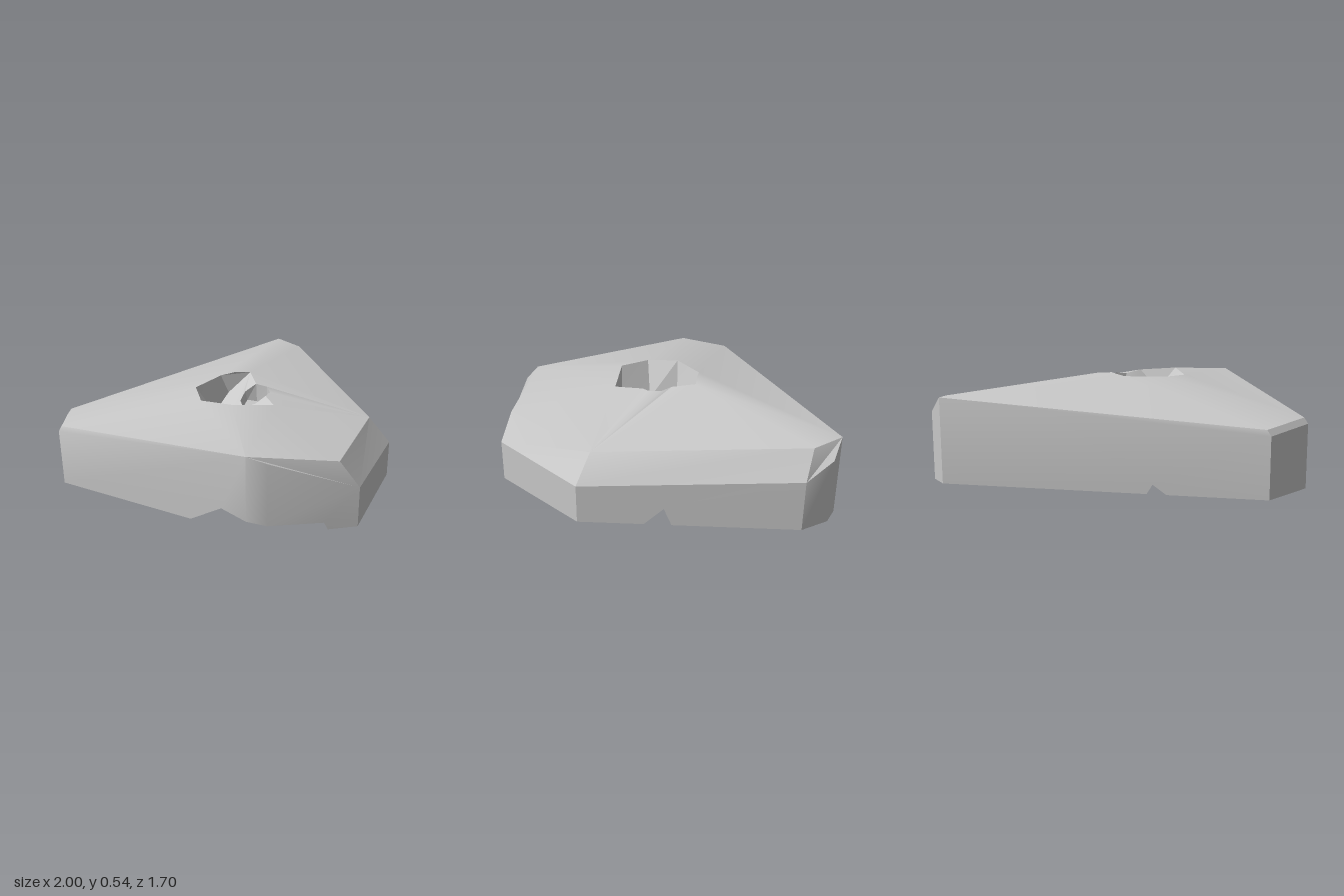
import * as THREE from 'three';
import { toCreasedNormals } from 'three/addons/utils/BufferGeometryUtils.js';

const V = (x, y, z) => new THREE.Vector3(x, y, z);

// Triangulate a polygon whose corners run counter-clockwise seen from outside
function poly(out, ...pts) {
  const n = V(0, 0, 0);
  pts.forEach((p, i) => n.add(p.clone().cross(pts[(i + 1) % pts.length])));
  n.normalize();
  const u = (Math.abs(n.y) > 0.9 ? V(1, 0, 0) : V(0, 1, 0)).cross(n).normalize();
  const v = n.clone().cross(u);
  const flat = pts.map((p) => new THREE.Vector2(p.dot(u), p.dot(v)));
  for (const [a, b, c] of THREE.ShapeUtils.triangulateShape(flat.slice(), [])) {
    const ccw = THREE.ShapeUtils.area([flat[a], flat[b], flat[c]]) > 0;
    out.push(pts[a], ccw ? pts[b] : pts[c], ccw ? pts[c] : pts[b]);
  }
}

// Join an outer ring to an inner ring, always along the shorter diagonal
function bridge(out, outer, inner) {
  let i = 0, j = 0;
  while (i < outer.length || j < inner.length) {
    const o = outer[i % outer.length], o2 = outer[(i + 1) % outer.length];
    const r = inner[j % inner.length], r2 = inner[(j + 1) % inner.length];
    const stepInner = i === outer.length || (j < inner.length && o.distanceTo(r2) < o2.distanceTo(r));
    if (stepInner) { out.push(o, r2, r); j++; } else { out.push(o, o2, r); i++; }
  }
}

export function createModel() {
  const model = new THREE.Group();
  const stone = new THREE.MeshStandardMaterial({ color: 0xc8c8c8 });
  stone.name = 'grey stone';

  function addMesh(name, tris, crease) {
    const geo = new THREE.BufferGeometry().setFromPoints(tris);
    const mesh = new THREE.Mesh(toCreasedNormals(geo, crease), stone);
    mesh.name = name;
    model.add(mesh);
  }

  // Tops of the upright walls, counter-clockwise from the front left corner
  const a = V(-0.5, 0.465, 0.54), b = V(-0.42, 0.43, 0.62), c = V(0.03, 0.24, 0.85);
  const d = V(0.6, 0.22, 0.53), e = V(1, 0.29, -0.6), f = V(0.96, 0.37, -0.77);
  const g = V(0.88, 0.46, -0.85), h = V(-0.82, 0.32, -0.85), i = V(-1, 0.34, -0.6);
  const foot = (p) => V(p.x, 0, p.z);

  // Upper edge of the bevel
  const tc = V(-0.05, 0.39, 0.77), td = V(0.52, 0.37, 0.43), te = V(0.92, 0.44, -0.67);
  const th = V(-0.8, 0.35, -0.84), ti = V(-0.98, 0.37, -0.59);

  // Rim of the recess in the top
  const r0 = V(-0.23, 0.52, -0.3), r1 = V(0, 0.525, -0.36), r2 = V(0.08, 0.54, -0.32);
  const r3 = V(0.17, 0.53, -0.28), r4 = V(0.115, 0.505, -0.15), r5 = V(0.145, 0.5, -0.08);
  const r6 = V(0.11, 0.495, -0.01), r7 = V(0.06, 0.49, 0.01), r8 = V(0, 0.495, 0.16);
  const r9 = V(-0.23, 0.525, 0.06), r10 = V(-0.31, 0.51, -0.13);

  // Hollow underneath: wall notches, opening at the front left and roof corners
  const right1 = V(0.72, 0, 0.19), rightTop = V(0.756, 0.1, 0.09), right2 = V(0.77, 0, 0.05);
  const back1 = V(-0.21, 0, -0.85), backTop = V(-0.24, 0.05, -0.85), back2 = V(-0.31, 0, -0.85);
  const open1 = V(-0.64, 0, 0.22), open2 = V(-0.56, 0.12, 0.4), open3 = V(-0.5, 0.08, 0.54);
  const open4 = V(-0.42, 0.06, 0.62), open5 = V(-0.14, 0.045, 0.763), open6 = V(-0.12, 0, 0.773);
  const roof1 = V(0.53, 0.375, 0.035), roof2 = V(0.13, 0.44, -0.3);
  const roofHeight = (x, z) => 0.322 + 0.12 * x - 0.337 * z;

  // Walls, bevel and domed top
  const body = [];
  const wall = (from, to, ...bottom) => poly(body, ...bottom, to, from);
  wall(a, b, open3, open4);
  wall(b, c, open4, open5, open6, foot(c));
  wall(c, d, foot(c), foot(d));
  wall(d, e, foot(d), right1, rightTop, right2, foot(e));
  wall(e, f, foot(e), foot(f));
  wall(f, g, foot(f), foot(g));
  wall(g, h, foot(g), back1, backTop, back2, foot(h));
  wall(h, i, foot(h), foot(i));
  wall(i, a, foot(i), open1, open2, open3);
  for (const q of [[a, b, c, tc], [c, d, td, tc], [d, e, te, td], [e, f, g, te],
    [g, h, th], [h, i, ti, th], [i, a, ti]]) poly(body, ...q);
  bridge(body, [a, tc, td, te, g, th, ti], [r9, r8, r7, r6, r5, r4, r3, r2, r1, r0, r10]);
  addMesh('slabBody', body, 0.5);

  // Deep recess with steep left walls and a floor rising to the right rim
  const f0 = V(-0.14, 0.31, -0.27), f1 = V(-0.16, 0.32, -0.1), f2 = V(-0.12, 0.385, 0.09);
  const f3 = V(0.04, 0.41, -0.335);
  const h0 = V(0.06, 0.455, -0.19), h1 = V(0, 0.42, -0.16);
  const h2 = V(-0.04, 0.41, -0.08), h3 = V(0, 0.45, -0.01);
  const recess = [];
  for (const q of [[r10, r9, f2, f1], [r9, r8, f2], [r0, r10, f1, f0], [r1, r0, f0, f3],
    [r3, r2, r1, f3], [f1, f2, r8, r7, h3, h2, h1, h0, r4, r3, f3, f0]]) poly(recess, ...q);
  addMesh('topRecess', recess, 0.2);

  // Shaft from the recess through to the hollow
  const shaft = [];
  const mouth = [r7, r6, r5, r4, h0, h1, h2, h3];
  const low = mouth.map((p) => {
    const x = p.x + (0.145 - p.x) * 0.2;
    return V(x, roofHeight(x, p.z), p.z);
  });
  mouth.forEach((p, k) => {
    const n = (k + 1) % mouth.length;
    poly(shaft, p, mouth[n], low[n], low[k]);
  });
  addMesh('centreShaft', shaft, 0.2);

  // Three flat feet and the sloping sides of the hollow, listed as seen from above
  const under = [];
  for (const q of [
    [open6, foot(c), foot(d), right1],
    [right2, foot(e), foot(f), foot(g), back1],
    [back2, foot(h), foot(i), open1],
    [open6, right1, rightTop, roof1, open5],
    [right2, back1, backTop, roof2, roof1, rightTop],
    [back2, open1, open2, roof2, backTop],
  ]) poly(under, ...q.reverse());

  // Roof of the hollow around the shaft
  bridge(under, [open5, open4, open3, open2, roof2, roof1], low.reverse());
  addMesh('underside', under, 0.3);

  return model;
}
